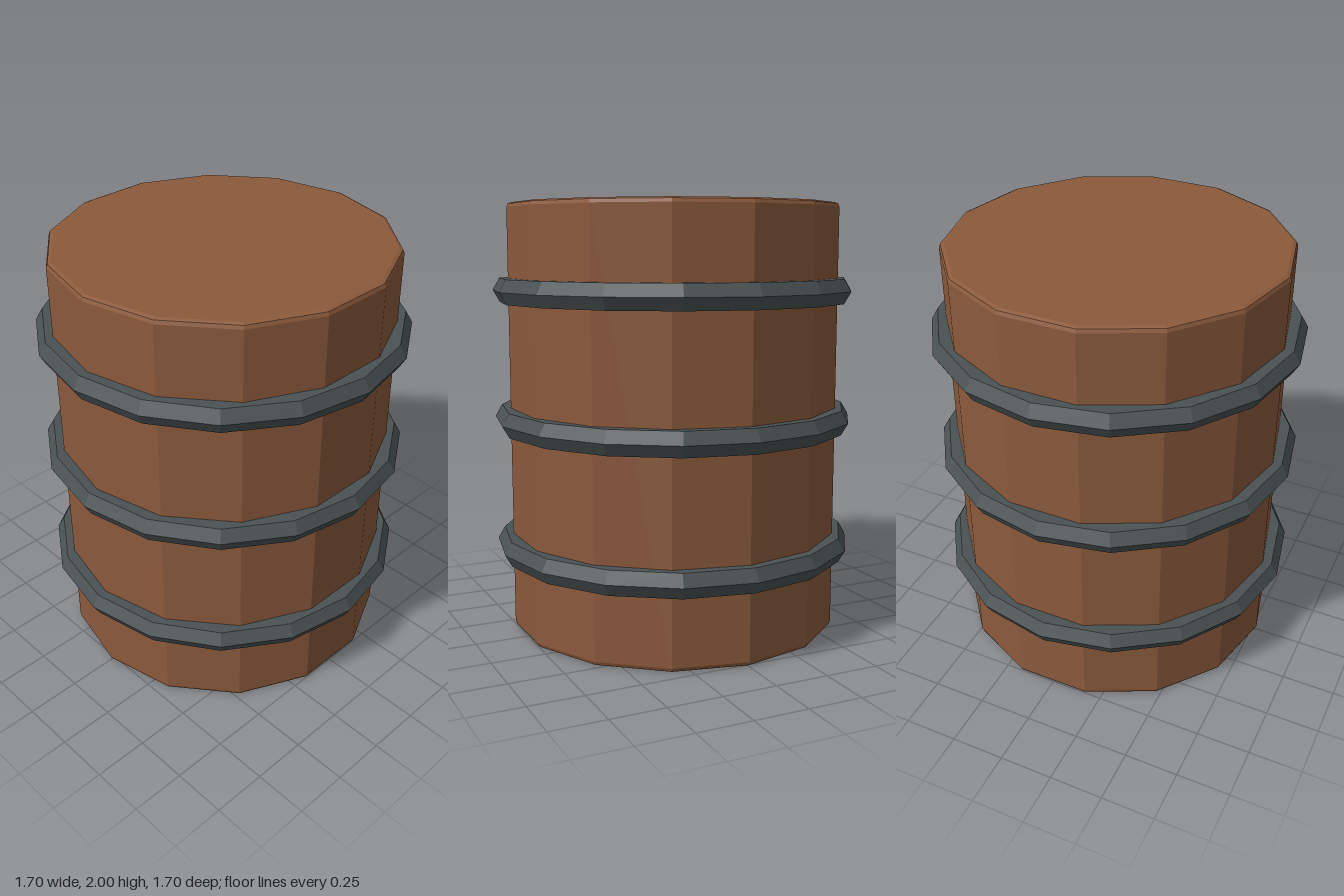
import * as THREE from 'three';

const wood = new THREE.MeshStandardMaterial({ color: 0x8b5a3c, flatShading: true });
const iron = new THREE.MeshStandardMaterial({ color: 0x4a5254, flatShading: true });

export function createModel() {
  const model = new THREE.Group();
  model.name = 'barrel';

  // Fourteen-sided body with small bevels at both rims
  const R = 0.775, H = 2, b = 0.022;
  const profile = [
    [0, 0], [R - b, 0], [R - b * 0.3, b * 0.3], [R, b],
    [R, H - b], [R - b * 0.3, H - b * 0.3], [R - b, H], [0, H],
  ].map(([r, y]) => new THREE.Vector2(r, y));
  const body = new THREE.Mesh(new THREE.LatheGeometry(profile, 14), wood);
  body.name = 'body';
  model.add(body);

  // Three hoops with a hexagonal section
  const hoopGeometry = new THREE.TorusGeometry(0.785, 0.065, 6, 16).rotateX(Math.PI / 2);
  [['lowerHoop', 0.4], ['middleHoop', 1], ['upperHoop', 1.6]].forEach(([name, y]) => {
    const hoop = new THREE.Mesh(hoopGeometry, iron);
    hoop.name = name;
    hoop.position.y = y;
    model.add(hoop);
  });

  return model;
}
